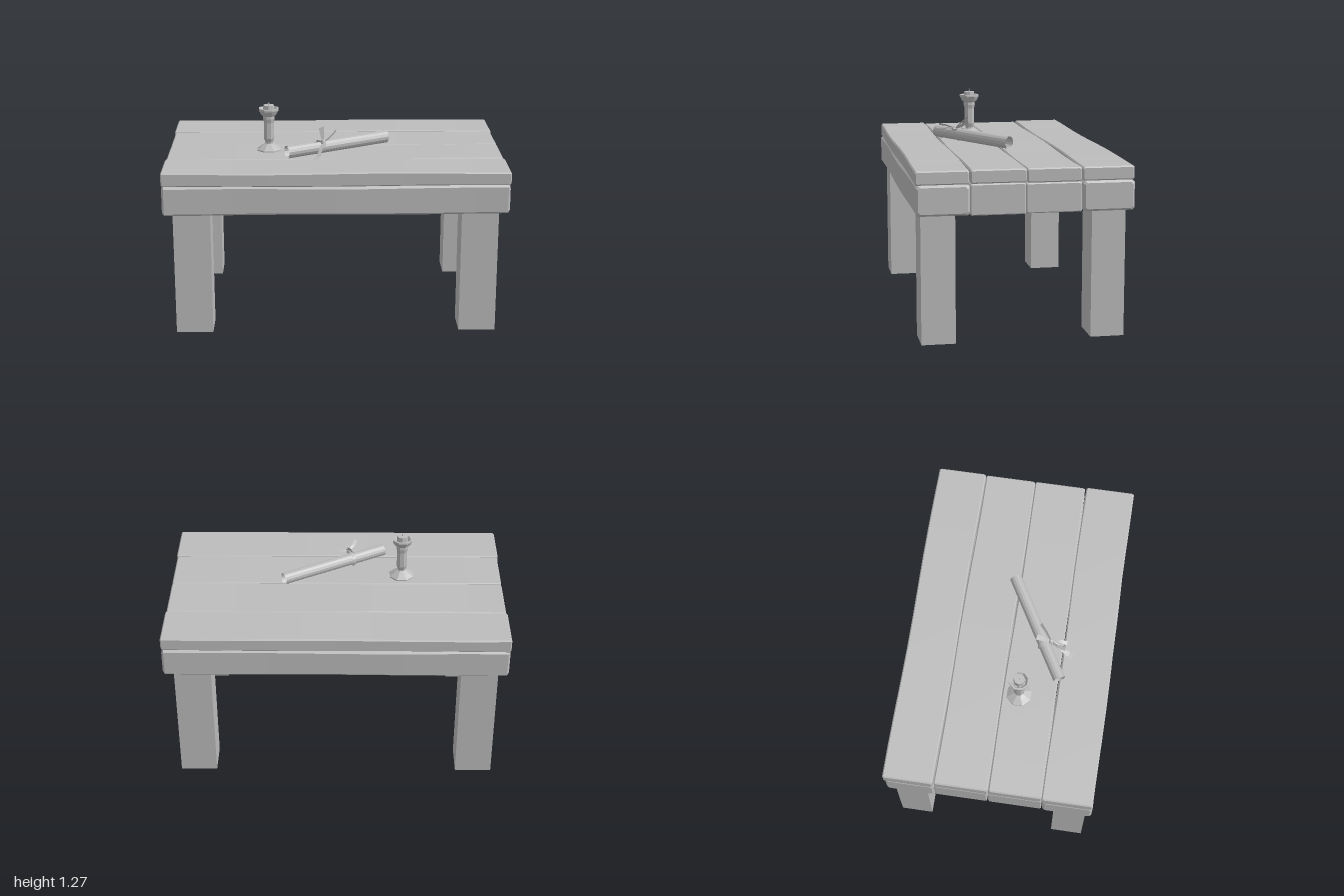
import * as THREE from 'three';

const stone = new THREE.MeshStandardMaterial({ color: 0xbcbcbc });
stone.name = 'plainGrey';
stone.flatShading = true;
stone.side = THREE.DoubleSide;

function add(parent, name, geometry, x = 0, y = 0, z = 0) {
  const mesh = new THREE.Mesh(geometry, stone);
  mesh.name = name;
  mesh.position.set(x, y, z);
  parent.add(mesh);
  return mesh;
}

// Joins rings of equal size into one surface, with optional flat ends
function loft(rings, closed, caps) {
  const n = rings[0].length, index = [];
  for (let i = 0; i < rings.length - 1; i++) {
    for (let j = 0; j < (closed ? n : n - 1); j++) {
      const a = i * n + j, b = i * n + (j + 1) % n;
      index.push(a, b, a + n, b, b + n, a + n);
    }
  }
  if (caps) {
    const last = (rings.length - 1) * n;
    for (let j = 1; j < n - 1; j++) {
      index.push(0, j + 1, j, last, last + j, last + j + 1);
    }
  }
  const g = new THREE.BufferGeometry();
  g.setAttribute('position', new THREE.Float32BufferAttribute(rings.flat(2), 3));
  g.setIndex(index);
  const flat = g.toNonIndexed();
  flat.computeVertexNormals();
  return flat;
}

// Rough-hewn board along x with chamfered edges and slightly wavy sides
function board(halfLength, y0, y1, z0, z1, bevel, seed) {
  const rings = [];
  const steps = 10;
  for (let i = 0; i <= steps + 2; i++) {
    const end = i === 0 || i === steps + 2;
    const k = Math.min(Math.max(i - 1, 0), steps) / steps;
    const x = end ? Math.sign(i - 1) * halfLength : (k * 2 - 1) * (halfLength - bevel);
    const inset = end ? bevel : 0;
    const wave = (p) => 0.0035 * Math.sin(k * 9 + seed * 2.1 + p);
    const b = y0 + inset + wave(0) * 0.6, t = y1 - inset + wave(2) * 0.6;
    const l = z0 + inset + wave(4), r = z1 - inset + wave(5);
    rings.push([
      [x, b, l + bevel], [x, b + bevel, l], [x, t - bevel, l], [x, t, l + bevel],
      [x, t, r - bevel], [x, t - bevel, r], [x, b + bevel, r], [x, b, r - bevel],
    ].reverse());
  }
  return loft(rings, true, true);
}

// Flat strip following a curve; side gives the width direction
function strip(points, side, widths) {
  const curve = new THREE.CatmullRomCurve3(points.map((p) => new THREE.Vector3(...p)));
  const s = new THREE.Vector3(...side).normalize();
  const rings = [];
  for (let i = 0; i <= 6; i++) {
    const t = i / 6, p = curve.getPoint(t);
    const w = THREE.MathUtils.lerp(widths[0], widths[1], t) / 2;
    rings.push([p.clone().addScaledVector(s, -w).toArray(), p.clone().addScaledVector(s, w).toArray()]);
  }
  return loft(rings, false, false);
}

export function createModel() {
  const model = new THREE.Group();
  model.name = 'table';

  // Two layers of four boards
  const seams = [-0.607, -0.315, -0.002, 0.311, 0.607];
  for (let i = 0; i < 4; i++) {
    const outer = i === 0 || i === 3;
    const a = seams[i] + (i ? 0.002 : 0), b = seams[i + 1] - (i < 3 ? 0.002 : 0);
    add(model, 'topBoard', board(outer ? 1 : 0.994, 0.903, outer ? 0.983 : 0.98, a, b, 0.007, i));
    add(model, 'lowerBoard', board(outer ? 0.998 : 0.993, 0.731, 0.901, a, b, outer ? 0.012 : 0.006, i + 5));
  }

  // Legs
  for (const x of [-0.833, 0.832]) {
    for (const z of [-0.478, 0.48]) {
      add(model, 'leg', new THREE.BoxGeometry(0.215, 0.735, 0.192), x, 0.3675, z);
    }
  }

  // Candlestick: foot, stem, cup, candle stub and wick
  const candlestick = new THREE.Group();
  candlestick.name = 'candlestick';
  candlestick.position.set(-0.393, 0.98, 0.095);
  model.add(candlestick);
  const profile = [
    [0, 0], [0.076, 0], [0.076, 0.008], [0.05, 0.026], [0.024, 0.042], [0.024, 0.05], [0.033, 0.075],
    [0.031, 0.17], [0.037, 0.195], [0.036, 0.211], [0.048, 0.221], [0.062, 0.246], [0.062, 0.258],
    [0.05, 0.258], [0.038, 0.236], [0, 0.236],
  ].map(([r, y]) => new THREE.Vector2(r, y));
  add(candlestick, 'holder', new THREE.LatheGeometry(profile, 8, Math.PI / 8));
  add(candlestick, 'candle', new THREE.CylinderGeometry(0.032, 0.034, 0.045, 8), 0, 0.2545, 0);
  add(candlestick, 'wick', new THREE.CylinderGeometry(0.002, 0.003, 0.022, 5), 0, 0.284, 0);

  // Rolled scroll: a spiral sheet swept along its length
  const scroll = new THREE.Group();
  scroll.name = 'scroll';
  scroll.position.set(0.016, 1.027, 0.142);
  scroll.rotation.y = Math.atan2(0.343, 0.598);
  model.add(scroll);
  const spiral = (x) => Array.from({ length: 23 }, (_, i) => {
    const a = i / 14 * Math.PI * 2 - 1.2, r = 0.039 - 0.0005 * i;
    return [x, Math.sin(a) * r, Math.cos(a) * r];
  });
  add(scroll, 'rolledSheet', loft([spiral(-0.345), spiral(0.345)], false, false));

  // Ribbon band tied around the scroll
  const band = add(scroll, 'ribbonBand', new THREE.CylinderGeometry(0.0405, 0.0405, 0.02, 14, 1, true), -0.122);
  band.rotation.z = Math.PI / 2;

  // Bow: knot, loops and tails
  const bow = new THREE.Group();
  bow.name = 'bow';
  bow.position.set(-0.07, 1.065, 0.237);
  model.add(bow);
  add(bow, 'knot', new THREE.IcosahedronGeometry(0.018, 0));
  add(bow, 'bowLoop', strip([[0, 0, 0], [-0.005, 0.03, -0.035], [-0.01, 0.067, -0.085]], [1, 0.5, 0.3], [0.012, 0.034]));
  add(bow, 'bowLoop', strip([[0, 0, 0], [0.04, 0.02, -0.03], [0.078, 0.052, -0.07]], [0.3, 1, 0.5], [0.01, 0.026]));
  add(bow, 'bowLoop', strip([[0, 0, 0], [-0.03, 0.015, 0.04], [-0.045, 0.025, 0.09]], [0.8, 0.6, 0.2], [0.01, 0.026]));
  add(bow, 'ribbonTail', strip([[0, 0, 0], [0.006, 0.005, 0.05], [0.002, -0.005, 0.095]], [1, 0.3, 0], [0.01, 0.024]));
  add(bow, 'ribbonTail', strip([[0, 0, 0], [-0.015, -0.03, 0.05], [-0.03, -0.066, 0.09], [-0.055, -0.073, 0.138]], [1, 0.1, 0.4], [0.012, 0.036]));

  return model;
}
